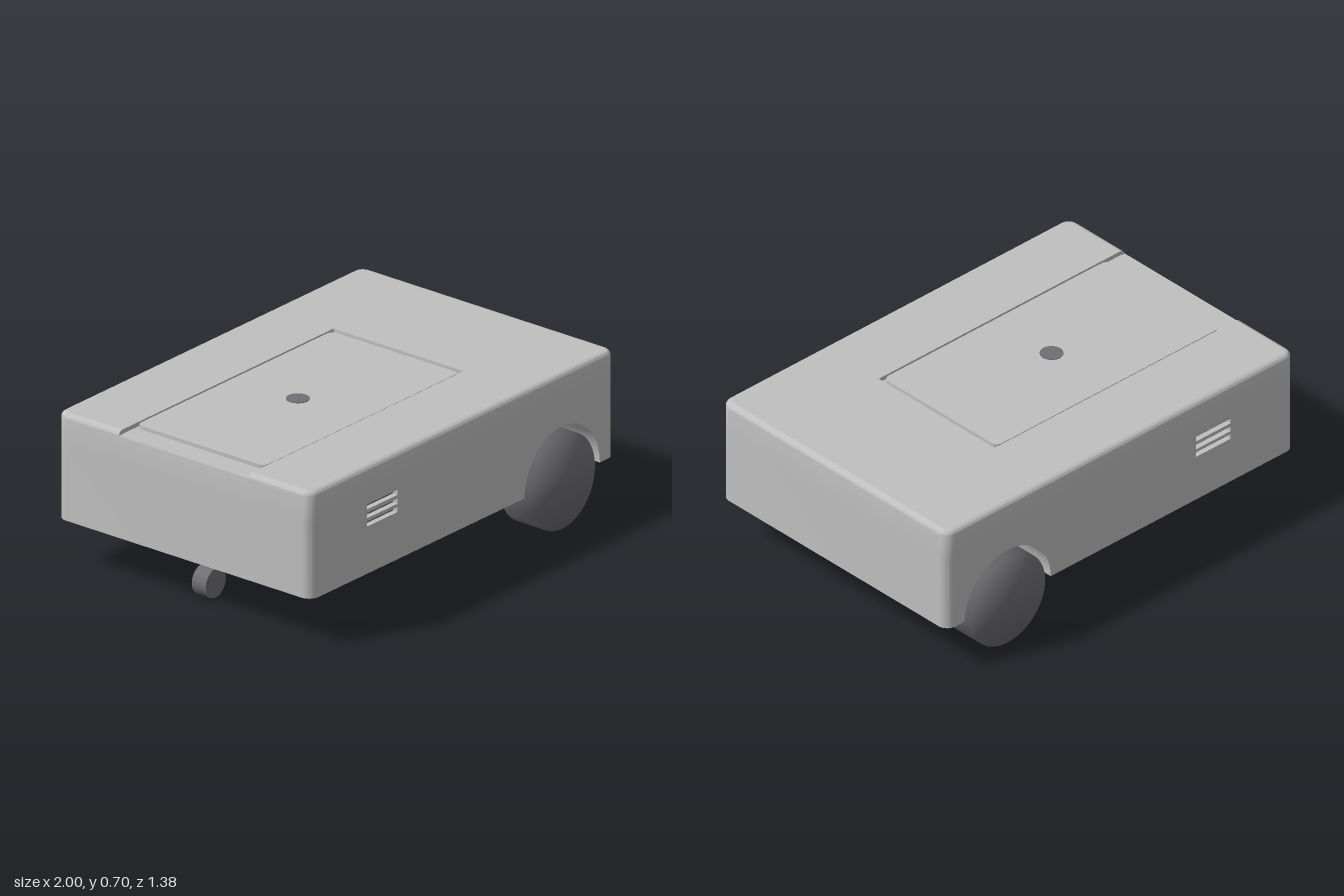
import * as THREE from 'three';
import { mergeVertices, toCreasedNormals } from 'three/addons/utils/BufferGeometryUtils.js';

const W = 1, D = 0.69, FLOOR = 0.22, SEAM = 0.56, TOP = 0.705, RECESS = 0.685;
const R = 0.05, FILLET = 0.025, WHEEL_X = 0.65, ARCH = 0.247;

export function createModel() {
  const model = new THREE.Group();
  const mat = (name, color) => {
    const m = new THREE.MeshStandardMaterial({ color });
    m.name = name;
    return m;
  };
  const shell = mat('light grey shell', 0xc0c0c0);
  const dark = mat('dark grey', 0x6f6f74);
  const gold = mat('motor gold', 0xd4bc6c);

  const add = (name, geometry, material, x = 0, y = 0, z = 0) => {
    const mesh = new THREE.Mesh(geometry, material);
    mesh.name = name;
    mesh.position.set(x, y, z);
    model.add(mesh);
    return mesh;
  };
  const box = (name, material, x0, x1, y0, y1, z0, z1) =>
    add(name, new THREE.BoxGeometry(x1 - x0, y1 - y0, z1 - z0), material,
      (x0 + x1) / 2, (y0 + y1) / 2, (z0 + z1) / 2);
  // Extrude along z, between z0 and z1
  const alongZ = (shape, z0, z1) =>
    new THREE.ExtrudeGeometry(shape, { depth: z1 - z0, bevelEnabled: false, curveSegments: 32 }).translate(0, 0, z0);
  // Extrude a plan shape upward, between y0 and y1
  const upward = (shape, y0, y1) =>
    toCreasedNormals(new THREE.ExtrudeGeometry(shape, { depth: y1 - y0, bevelEnabled: false, curveSegments: 8 })
      .rotateX(-Math.PI / 2).translate(0, y0, 0), 0.6);
  const roundRect = (x0, x1, d, r) => new THREE.Shape()
    .absarc(x1 - r, d - r, r, 0, Math.PI / 2)
    .absarc(x0 + r, d - r, r, Math.PI / 2, Math.PI)
    .absarc(x0 + r, r - d, r, Math.PI, Math.PI * 1.5)
    .absarc(x1 - r, r - d, r, Math.PI * 1.5, Math.PI * 2);
  const axial = (r, length, segments = 48) =>
    new THREE.CylinderGeometry(r, r, length, segments).rotateX(Math.PI / 2);
  // Shared normals give the rounded-looking shading on wheels and motors
  const softened = (geometry) => {
    geometry.deleteAttribute('normal');
    geometry.deleteAttribute('uv');
    const merged = mergeVertices(geometry, 1e-4);
    merged.computeVertexNormals();
    return merged;
  };

  // Lower body: side profile with wheel arches and vent slots
  const profile = new THREE.Shape();
  profile.moveTo(R - W, FLOOR);
  profile.lineTo(WHEEL_X - ARCH, FLOOR);
  profile.absarc(WHEEL_X, FLOOR, ARCH, Math.PI, 0, true);
  profile.lineTo(W - R, FLOOR);
  profile.lineTo(W - R, SEAM);
  profile.lineTo(R - W, SEAM);
  for (const y of [0.435, 0.473, 0.513]) {
    const slot = new THREE.Path();
    slot.moveTo(-0.63, y);
    slot.lineTo(-0.63, y + 0.023);
    slot.lineTo(-0.43, y + 0.023);
    slot.lineTo(-0.43, y);
    profile.holes.push(slot);
  }
  add('lowerBody', toCreasedNormals(alongZ(profile, -D, D), 0.6), shell);
  box('ventInterior', dark, -0.64, -0.42, 0.425, 0.545, -0.665, 0.665);
  // Rounded ends of the lower body
  for (const s of [-1, 1]) {
    add('bodyEnd', upward(roundRect(s > 0 ? 0.9 : -1, s > 0 ? 1 : -0.9, D, R), FLOOR, SEAM), shell);
  }

  // Upper body: stacked rounded outlines, dipping where the hatch recess meets the end
  const outline = (inset) => {
    const x = W - R, z = D - R, r = R - inset, pts = [];
    [[x, z], [-x, z], [-x, -z], [x, -z]].forEach(([cx, cz], q) => {
      for (let i = 0; i <= 8; i++) {
        const a = (q + i / 8) * Math.PI / 2;
        pts.push([cx + r * Math.cos(a), cz + r * Math.sin(a)]);
      }
      if (q === 1) for (const e of [0.353, 0.35, -0.35, -0.353]) pts.push([inset - W, e]);
    });
    return pts;
  };
  const levels = [[0, SEAM]];
  for (let i = 0; i <= 6; i++) {
    const a = i / 6 * Math.PI / 2;
    levels.push([FILLET * (1 - Math.cos(a)), TOP - FILLET * (1 - Math.sin(a))]);
  }
  const position = [], index = [];
  const count = outline(0).length;
  levels.forEach(([inset, y], k) => {
    outline(inset).forEach(([x, p], i) => {
      const dips = x < -0.9 && Math.abs(p) < 0.351;
      position.push(x, dips ? Math.min(y, RECESS) : y, -p);
      if (k === 0) return;
      const j = (i + 1) % count, a = (k - 1) * count, b = k * count;
      index.push(a + i, a + j, b + j, a + i, b + j, b + i);
    });
  });
  const upper = new THREE.BufferGeometry();
  upper.setAttribute('position', new THREE.Float32BufferAttribute(position, 3));
  upper.setIndex(index);
  add('upperBody', toCreasedNormals(upper, 0.6), shell);

  // Top deck around the hatch recess
  const X = W - FILLET, Z = D - FILLET, r = R - FILLET;
  const deck = new THREE.Shape();
  deck.moveTo(0.41, -0.353);
  deck.lineTo(-X, -0.353);
  deck.absarc(r - X, r - Z, r, Math.PI, Math.PI * 1.5);
  deck.absarc(X - r, r - Z, r, Math.PI * 1.5, Math.PI * 2);
  deck.absarc(X - r, Z - r, r, 0, Math.PI / 2);
  deck.absarc(r - X, Z - r, r, Math.PI / 2, Math.PI);
  deck.lineTo(-X, 0.353);
  deck.lineTo(0.41, 0.353);
  add('topDeck', upward(deck, RECESS - 0.005, TOP), shell);
  box('hatchRecess', shell, -0.985, 0.42, 0.66, RECESS, -0.36, 0.36);

  // Hatch lid with its round button
  add('hatchLid', upward(roundRect(-0.89, 0.39, 0.346, 0.03), 0.67, 0.702), shell);
  add('hatchButton', new THREE.CylinderGeometry(0.05, 0.05, 0.006, 32), dark, -0.25, 0.702, 0);

  // Rib between the two motor bays
  const rib = new THREE.Shape().absarc(WHEEL_X, FLOOR, ARCH + 0.005, 0, Math.PI);
  add('centreRib', alongZ(rib, -0.05, 0.05), shell);

  // Wheels, motors and the arch panels between them
  const panel = new THREE.Shape();
  panel.moveTo(WHEEL_X - 0.25, 0.2);
  panel.lineTo(WHEEL_X + 0.25, 0.2);
  panel.absarc(WHEEL_X, 0.215, 0.25, 0, Math.PI);
  for (const s of [-1, 1]) {
    add('driveWheel', softened(axial(0.215, 0.16, 64)), dark, WHEEL_X, 0.215, s * 0.61);
    add('motor', softened(axial(0.116, 0.386)), gold, WHEEL_X, 0.215, s * 0.262);
    add('axle', axial(0.035, 0.1, 24), dark, WHEEL_X, 0.215, s * 0.49);
    add('archPanel', alongZ(panel, s * 0.4675 - 0.0125, s * 0.4675 + 0.0125), shell);
  }

  // Caster
  box('casterPlate', dark, -0.91, -0.69, 0.2, 0.222, -0.14, 0.14);
  add('casterStem', new THREE.CylinderGeometry(0.045, 0.045, 0.07, 32), dark, -0.8, 0.167, 0);
  add('casterWheel', axial(0.066, 0.076), dark, -0.835, 0.067, 0);

  return model;
}
